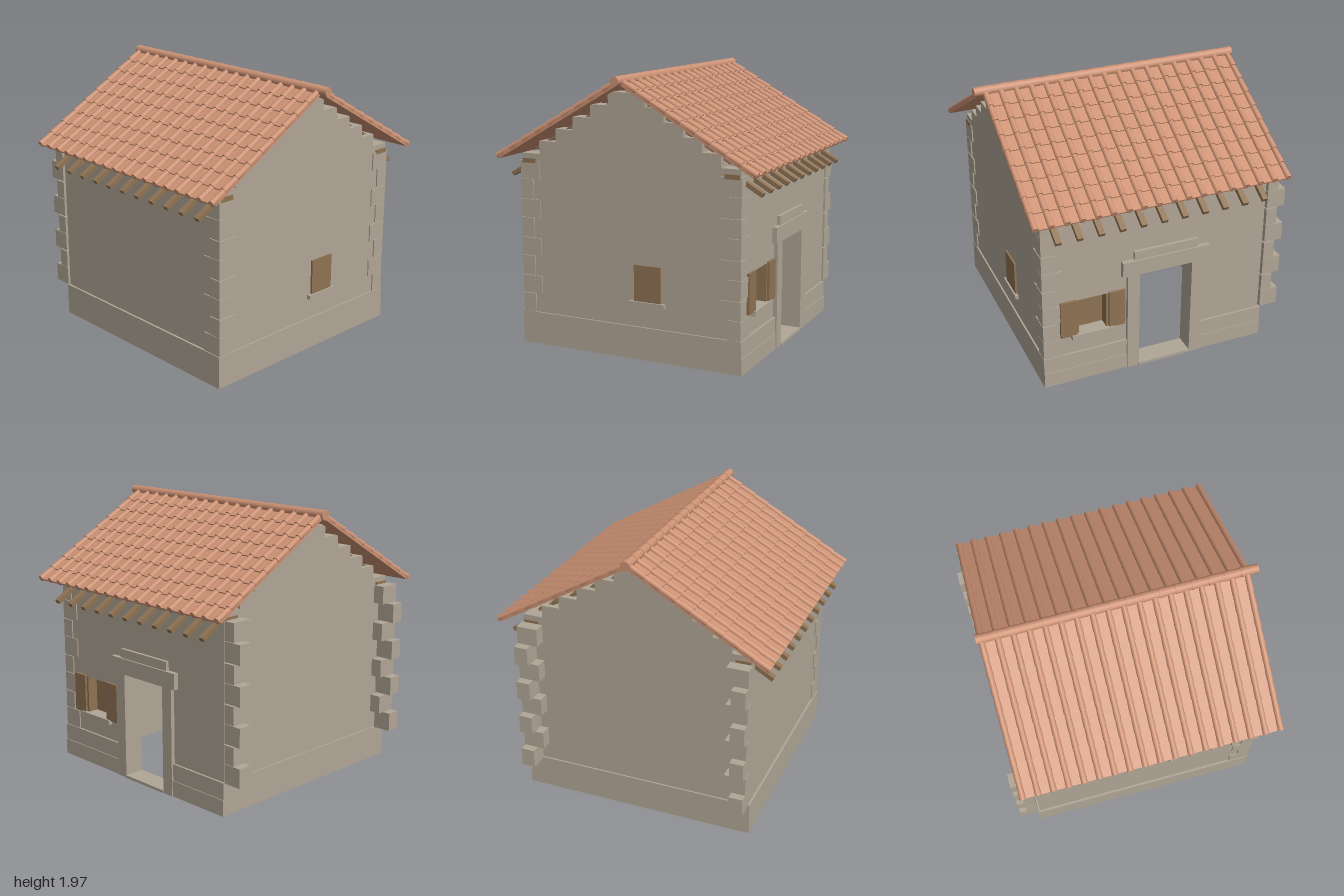
import * as THREE from 'three';

export function createModel() {
  const stone = new THREE.MeshStandardMaterial({ color: 0xb0a696 });
  stone.name = 'stone';
  const wood = new THREE.MeshStandardMaterial({ color: 0x8f7353 });
  wood.name = 'wood';
  const tile = new THREE.MeshStandardMaterial({ color: 0xcd9274 });
  tile.name = 'terracotta';

  const model = new THREE.Group();
  model.name = 'house';
  const house = new THREE.Group();
  house.name = 'building';
  house.position.x = -0.01;
  model.add(house);

  const add = (parent, name, geometry, material) => {
    const mesh = new THREE.Mesh(geometry, material);
    mesh.name = name;
    parent.add(mesh);
    return mesh;
  };
  // Box given by its limits on each axis
  const box = (name, material, x0, x1, y0, y1, z0, z1, parent = house) => {
    const mesh = add(parent, name, new THREE.BoxGeometry(x1 - x0, y1 - y0, z1 - z0), material);
    mesh.position.set((x0 + x1) / 2, (y0 + y1) / 2, (z0 + z1) / 2);
    return mesh;
  };

  const W = 0.838, IN = 0.718, T = W - IN;
  const doorX = -0.065, doorHalf = 0.2, doorTop = 0.78;

  // Stepped gable walls
  const halves = [W, 0.695, 0.56, 0.42, 0.28, 0.14];
  const gable = new THREE.Shape();
  gable.moveTo(-W, 0);
  gable.lineTo(W, 0);
  const stepTop = i => 1.39 + 0.092 * i;
  halves.forEach((h, i) => {
    if (i) gable.lineTo(h, stepTop(i - 1));
    gable.lineTo(h, stepTop(i));
  });
  for (let i = halves.length - 1; i >= 0; i--) {
    gable.lineTo(-halves[i], stepTop(i));
    if (i) gable.lineTo(-halves[i], stepTop(i - 1));
  }
  const gableGeo = new THREE.ExtrudeGeometry(gable, { depth: T, bevelEnabled: false }).rotateY(Math.PI / 2);
  add(house, 'leftGableWall', gableGeo, stone).position.x = IN;
  add(house, 'rightGableWall', gableGeo, stone).position.x = -W;

  // Plain front wall, and back wall with door and window openings
  box('frontWall', stone, -IN, IN, 0, 1.36, IN, W);
  const back = new THREE.Shape();
  const d0 = doorX - doorHalf, d1 = doorX + doorHalf;
  [[-IN, 0], [d0, 0], [d0, doorTop], [d1, doorTop], [d1, 0], [IN, 0], [IN, 1.36], [-IN, 1.36]]
    .forEach(([x, y], i) => (i ? back.lineTo(x, y) : back.moveTo(x, y)));
  const opening = new THREE.Path();
  [[0.36, 0.39], [0.36, 0.66], [0.6, 0.66], [0.6, 0.39]]
    .forEach(([x, y], i) => (i ? opening.lineTo(x, y) : opening.moveTo(x, y)));
  opening.closePath();
  back.holes.push(opening);
  add(house, 'backWall', new THREE.ExtrudeGeometry(back, { depth: T, bevelEnabled: false }), stone).position.z = -W;

  // Plinth, with a lower course on the back
  const P = 0.85, PZ = 0.854, PY = 0.235;
  box('frontPlinth', stone, -P, P, 0, PY, 0.72, PZ);
  for (const s of [-1, 1]) {
    const [a, b] = s > 0 ? [0.72, P] : [-P, -0.72];
    box('sidePlinth', stone, a, b, 0, PY, -PZ, 0.72);
  }
  for (const [a, b] of [[-P, d0], [d1, P]]) {
    box('backPlinth', stone, a, b, 0, PY, -PZ, -0.72);
    box('backPlinthCourse', stone, a, b, 0, 0.115, -0.86, -0.85);
  }

  // Alternating corner stones; those on the right stand outside the wall
  for (let i = 0; i < 8; i++) {
    const y0 = PY + 0.139 * i, y1 = y0 + (i % 2 ? 0.13 : 0.136);
    const long = i % 2 === 0;
    const dz = long ? 0.1 : 0.155;
    for (const s of [-1, 1]) {
      const z0 = s > 0 ? 0.847 - dz : -0.847, z1 = z0 + dz;
      box('leftCornerStone', stone, long ? 0.695 : 0.752, 0.847, y0, y1, z0, z1);
      box('rightCornerStone', stone, long ? -0.99 : -0.935, -0.852, y0, y1, z0, z1);
    }
  }

  // Door surround
  for (const s of [-1, 1]) {
    const c = doorX + s * (doorHalf + 0.045);
    box('doorJamb', stone, c - 0.045, c + 0.045, 0, doorTop, -0.867, -0.72);
  }
  box('doorLintel', stone, doorX - 0.33, doorX + 0.33, doorTop, 0.895, -0.874, -0.80);
  box('doorCap', stone, doorX - 0.24, doorX + 0.24, 0.895, 0.96, -0.862, -0.80);
  box('doorStep', stone, d0, d1, 0, 0.02, -0.872, -0.72);

  // Back window with open shutters
  box('backWindowPanel', wood, 0.36, 0.6, 0.39, 0.66, -0.765, -0.745);
  box('backWindowPost', wood, 0.36, 0.378, 0.39, 0.66, -0.842, -0.765);
  box('backWindowPost', wood, 0.582, 0.6, 0.39, 0.66, -0.842, -0.765);
  box('backShutter', wood, 0.24, 0.36, 0.385, 0.67, -0.858, -0.836);
  box('backShutter', wood, 0.6, 0.72, 0.385, 0.67, -0.858, -0.836);
  box('backWindowSill', stone, 0.32, 0.64, 0.355, 0.39, -0.87, -0.80);

  // Closed side window
  box('sideShutter', wood, 0.80, 0.852, 0.42, 0.675, -0.258, -0.055);
  box('sideWindowSill', stone, 0.80, 0.864, 0.39, 0.42, -0.29, -0.022);

  // Roof slopes, each built in a frame that runs down the slope
  const slope = Math.PI / 6, L = 1.118, rows = 9, rowLen = L / rows, cols = 18;
  const coverGeo = new THREE.CylinderGeometry(0.0235, 0.019, rowLen + 0.012, 12).rotateX(Math.PI / 2);
  const panGeo = new THREE.BoxGeometry(1.88, 0.012, rowLen + 0.015);
  for (const s of [1, -1]) {
    const side = new THREE.Group();
    side.name = s > 0 ? 'frontRoof' : 'backRoof';
    side.rotation.y = s > 0 ? 0 : Math.PI;
    house.add(side);
    const pitch = new THREE.Group();
    pitch.name = 'roofSlope';
    pitch.position.y = 1.912;
    pitch.rotation.x = slope;
    side.add(pitch);
    box('roofBoard', tile, -0.94, 0.94, 0, 0.012, 0, L - 0.005, pitch);
    for (let r = 0; r < rows; r++) {
      const z = (r + 0.5) * rowLen;
      const pan = add(pitch, 'panTileRow', panGeo, tile);
      pan.position.set(0, 0.017, z);
      pan.rotation.x = -0.07;
      for (let c = 0; c < cols; c++) {
        const cover = add(pitch, 'coverTile', coverGeo, tile);
        cover.position.set((c - (cols - 1) / 2) * 0.1083, 0.024, z);
        cover.rotation.x = -0.03;
      }
    }

    // Boarding between the gables
    const deck = new THREE.Group();
    deck.name = 'roofDeck';
    deck.position.y = 1.862;
    deck.rotation.x = slope;
    side.add(deck);
    box('deckBoards', wood, -0.8, 0.8, -0.02, 0, 0, 0.86, deck);

    // Rafter tails and the beam they bear on
    for (let i = -5; i <= 5; i++) {
      const tail = add(side, 'rafterTail', new THREE.BoxGeometry(0.042, 0.03, 0.29), wood);
      tail.position.set(i * 0.152, 1.292, 0.838);
      tail.rotation.x = slope;
    }
    box('wallBeam', wood, -0.849, 0.849, 1.322, 1.354, 0.725, 0.832, side);
  }

  // Ridge tiles
  const ridgeGeo = new THREE.CylinderGeometry(0.031, 0.035, 0.125, 16).rotateZ(-Math.PI / 2);
  for (let i = 0; i < 17; i++) {
    add(house, 'ridgeTile', ridgeGeo, tile).position.set(-0.893 + i * 0.1145, 1.936, 0);
  }
  return model;
}
